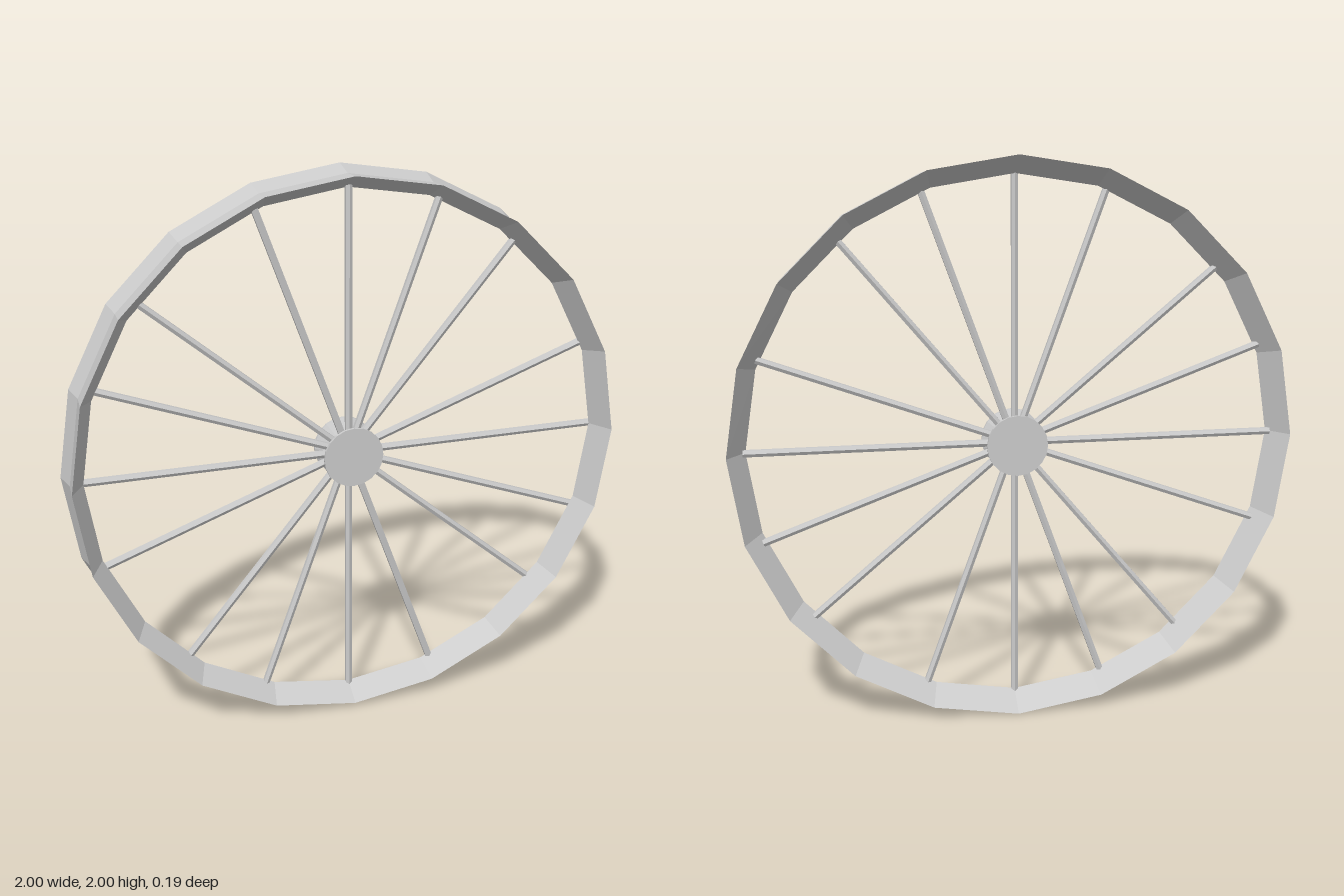
import * as THREE from 'three';

const material = new THREE.MeshStandardMaterial({ color: 0xcccccc, flatShading: true });

// Faceted solid turned around the z axis from [radius, z] points, back to front
function turned(profile, sides) {
  const points = profile.map(([r, z]) => new THREE.Vector2(r, z));
  return new THREE.LatheGeometry(points, sides).rotateX(Math.PI / 2);
}

function addMesh(parent, name, geometry) {
  const flat = geometry.toNonIndexed();
  flat.computeVertexNormals();
  const mesh = new THREE.Mesh(flat, material);
  mesh.name = name;
  parent.add(mesh);
  return mesh;
}

export function createModel() {
  const wheel = new THREE.Group();
  wheel.name = 'wheel';

  // Rim: grooved outside, ridged inside, slightly warped out of plane
  const rim = turned([[1, -0.085], [0.98, 0], [0.985, 0.087], [0.935, 0], [1, -0.085]], 20);
  const pos = rim.attributes.position;
  for (let i = 0; i < pos.count; i++) {
    const a = Math.atan2(pos.getX(i), pos.getY(i));
    pos.setZ(i, pos.getZ(i) + 0.003 - 0.0095 * Math.cos(2 * a) - 0.004 * Math.cos(a));
  }
  addMesh(wheel, 'rim', rim).position.y = 1;

  // Hub: spool with two flanges and a narrow waist
  const hub = turned([
    [0, -0.065], [0.108, -0.065], [0.108, -0.055], [0.04, -0.01],
    [0.04, 0.01], [0.108, 0.055], [0.108, 0.065], [0, 0.065],
  ], 20);
  addMesh(wheel, 'hub', hub).position.y = 1;

  // Spokes: the same four unevenly spaced spokes in every quarter
  const spokes = new THREE.Group();
  spokes.name = 'spokes';
  spokes.position.y = 1;
  const inner = 0.02, outer = 0.945;
  const rod = new THREE.CylinderGeometry(0.0135, 0.0135, outer - inner, 6);
  rod.translate(0, (inner + outer) / 2, 0);
  for (let quarter = 0; quarter < 4; quarter++) {
    for (const angle of [0, 20, 40, 70]) {
      const spoke = addMesh(spokes, 'spoke', rod);
      spoke.rotation.z = -THREE.MathUtils.degToRad(quarter * 90 + angle);
    }
  }
  wheel.add(spokes);
  return wheel;
}
